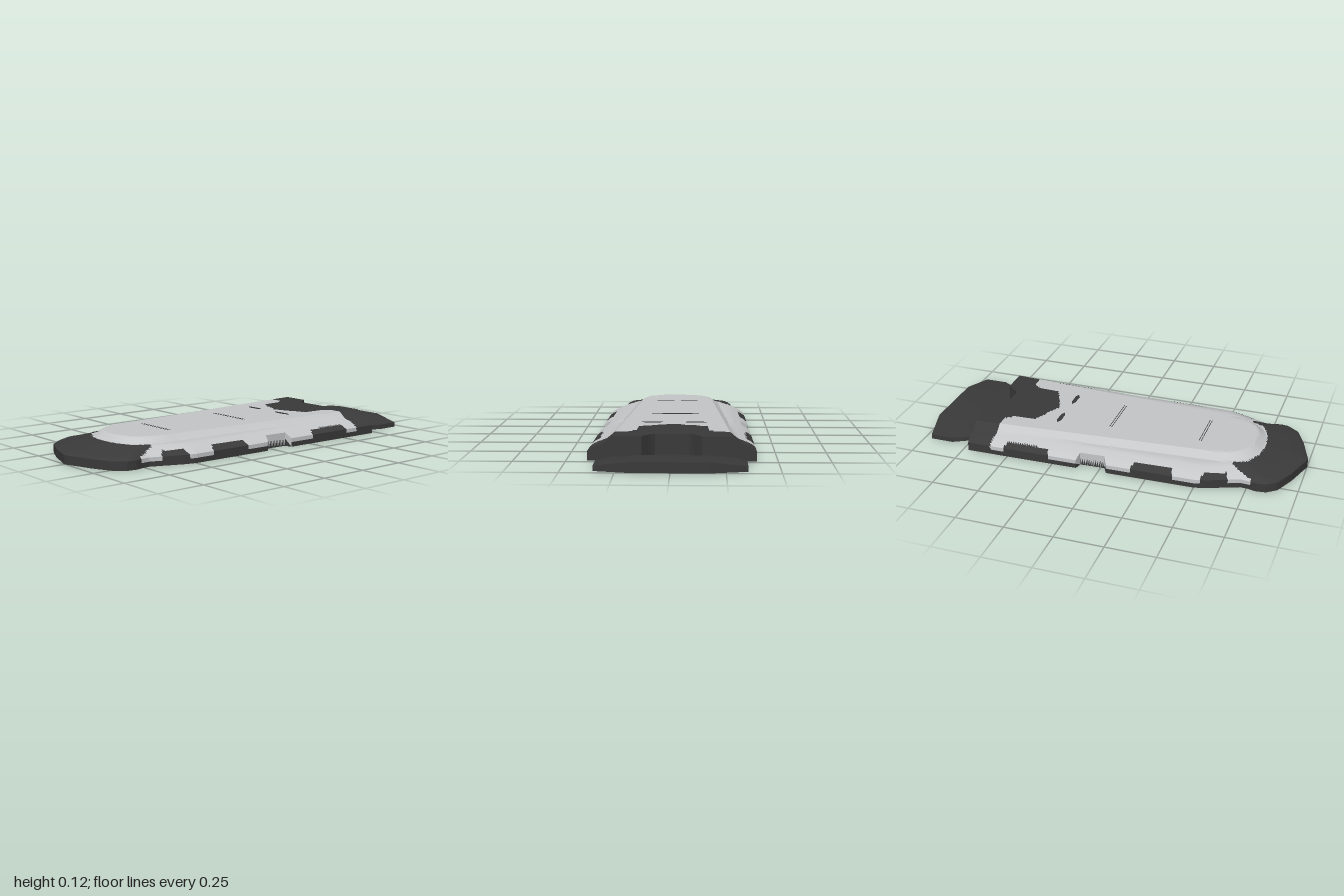
import * as THREE from 'three';
import { toCreasedNormals } from 'three/addons/utils/BufferGeometryUtils.js';

// Piecewise linear lookup in [[key, value], ...]
function lerpTable(table, k) {
  if (k <= table[0][0]) return table[0][1];
  for (let i = 1; i < table.length; i++) {
    const [a, va] = table[i - 1], [b, vb] = table[i];
    if (k <= b) return va + (vb - va) * (k - a) / (b - a);
  }
  return table[table.length - 1][1];
}

// Half width of the hull along z, and the finger notch cut into each side
const OUTLINE = [[-0.72, 0.4], [-0.12, 0.39], [0.5, 0.38], [0.56, 0.365], [0.66, 0.325], [0.72, 0.302],
  [0.76, 0.305], [0.8, 0.315], [0.85, 0.309], [0.9, 0.27], [0.95, 0.16], [0.985, 0.05], [1, 0.008]];
const NOTCH = [[-0.12, 1], [-0.11, 0.35], [0.02, 0.345], [0.04, 0.385], [0.05, 1]];
const NOSE = [[0, 1], [0.05, 0.985], [0.16, 0.95], [0.27, 0.9], [0.309, 0.85], [0.33, 0.8]];
const SHOULDER = [[0, 0.045], [0.01, 0.055], [0.04, 0.07], [0.09, 0.088]];
const REAR_CUT = [[0.09, -0.65], [0.14, -0.72]];
// Colour borders of the nose and the rear cover, as z over x
const NOSE_BORDER = [[0, 0.78], [0.1, 0.77], [0.19, 0.73], [0.22, 0.66], [0.24, 0.66], [0.3, 0.77]];
const REAR_BORDER = [[0, -0.36], [0.165, -0.43], [0.17, -0.54], [0.21, -0.59], [0.4, -0.595]];
const GRIPS = [[-0.52, -0.27], [0.17, 0.39], [0.53, 0.66]];

const deckHalf = z => 0.285 - (Math.min(z, 0.5) + 0.72) * 0.07;

// Height of the top surface: sloping shoulder plus the raised deck
function topHeight(x, z) {
  const edge = Math.min(lerpTable(OUTLINE, z) - x, (lerpTable(NOSE, x) - z) * 0.45);
  const half = deckHalf(z);
  let out = x - half;
  if (z > 0.5) {
    const r = Math.pow(Math.pow(x / half, 2.6) + Math.pow((z - 0.5) / 0.23, 2.6), 1 / 2.6);
    out = (r - 1) * half;
  }
  const deck = 1 - THREE.MathUtils.clamp(out / 0.035, 0, 1);
  return lerpTable(SHOULDER, edge) + 0.03 * deck;
}

function isTrim(x, y, z) {
  x = Math.abs(x);
  if (y < 0.02 || z > lerpTable(NOSE_BORDER, x) || z < lerpTable(REAR_BORDER, x)) return true;
  const inset = lerpTable(OUTLINE, z) - x;
  return inset < 0.035 && GRIPS.some(([a, b]) => z > a + inset * 0.4 && z < b - inset * 0.4);
}

// Closed solid from rows of top points [x, y, z], with walls down to a flat base
function loft(rows, trimTest) {
  const pos = [], shell = [], trim = [], n = rows[0].length, ring = 2 * n + 2;
  for (const row of rows) {
    const first = row[0], last = row[n - 1];
    const pts = [...row, [last[0], last[1] * 0.55, last[2]],
      ...row.map(p => [p[0], 0, p[2]]).reverse(), [first[0], first[1] * 0.55, first[2]]];
    pts.forEach(p => pos.push(...p));
  }
  const tri = (a, b, c) => {
    const mid = k => (pos[a * 3 + k] + pos[b * 3 + k] + pos[c * 3 + k]) / 3;
    (trimTest(mid(0), mid(1), mid(2)) ? trim : shell).push(a, b, c);
  };
  for (let r = 0; r < rows.length - 1; r++) {
    for (let i = 0; i < ring; i++) {
      const p = r * ring + i, p2 = r * ring + (i + 1) % ring;
      tri(p, p + ring, p2);
      tri(p2, p + ring, p2 + ring);
    }
  }
  // End walls
  const end = (rows.length - 1) * ring;
  for (let i = 0; i < n - 1; i++) {
    const low = 2 * n - i;
    tri(i, i + 1, low);
    tri(i + 1, low - 1, low);
    tri(end + i, end + low, end + i + 1);
    tri(end + i + 1, end + low, end + low - 1);
  }
  const geo = new THREE.BufferGeometry();
  geo.setAttribute('position', new THREE.Float32BufferAttribute(pos, 3));
  geo.setIndex([...shell, ...trim]);
  geo.addGroup(0, shell.length, 0);
  geo.addGroup(shell.length, trim.length, 1);
  return toCreasedNormals(geo, 0.5);
}

export function createModel() {
  const model = new THREE.Group();
  const shellGrey = new THREE.MeshStandardMaterial({ color: 0xc4c6c8 });
  const trimDark = new THREE.MeshStandardMaterial({ color: 0x3a3a3a });
  const add = (name, geo, mat) => {
    const mesh = new THREE.Mesh(geo, mat);
    mesh.name = name;
    model.add(mesh);
    return mesh;
  };

  // Main hull, columns follow the deck edge
  const rows = [], deckCols = 14, sideCols = 9;
  for (let r = 0; r <= 172; r++) {
    const z = -0.72 + r * 0.01;
    const wide = Math.min(lerpTable(OUTLINE, z), lerpTable(NOTCH, z));
    const deck = Math.min(deckHalf(z), wide * 0.75);
    const row = [];
    for (let c = -deckCols - sideCols; c <= deckCols + sideCols; c++) {
      const k = Math.abs(c);
      const x = k <= deckCols ? deck * k / deckCols : deck + (wide - deck) * (k - deckCols) / sideCols;
      // Shift the rearmost rows forward to form the tail recess
      const shift = (lerpTable(REAR_CUT, x) + 0.72) * THREE.MathUtils.clamp((-0.5 - z) / 0.22, 0, 1);
      row.push([Math.sign(c) * x, topHeight(x, z + shift), z + shift]);
    }
    rows.push(row);
  }
  add('hull', loft(rows, isTrim), [shellGrey, trimDark]);

  // Tail plate, slanting down into the recess
  const tail = [[-1, 0.18, 0.05, 0.05], [-0.96, 0.35, 0.05, 0.025], [-0.84, 0.35, 0.05, 0.025],
    [-0.72, 0.285, 0.02, 0.02], [-0.63, 0.25, 0.015, 0.015]];
  add('tailPlate', loft(tail.map(([z, w, mid, rim]) =>
    [[-w, rim, z], [-0.17, mid, z], [0.17, mid, z], [w, rim, z]]), () => true), [shellGrey, trimDark]);

  // Fine grooves across the deck
  for (const [z, w] of [[-0.03, 0.25], [-0.018, 0.25], [0.454, 0.23], [0.465, 0.23]]) {
    add('deckGroove', new THREE.BoxGeometry(w, 0.002, 0.003), trimDark).position.set(0, 0.118, z);
  }

  // Pair of tapered vents
  for (const side of [-1, 1]) {
    const vent = new THREE.Shape([[0.055, 0.308], [0.075, 0.318], [0.14, 0.32], [0.165, 0.31],
      [0.14, 0.296], [0.075, 0.298]].map(([x, y]) => new THREE.Vector2(side * x, y)));
    const geo = new THREE.ExtrudeGeometry(vent, { depth: 0.002, bevelEnabled: false });
    add(side > 0 ? 'leftVent' : 'rightVent', geo.rotateX(-Math.PI / 2), trimDark).position.y = 0.1175;
  }
  return model;
}
